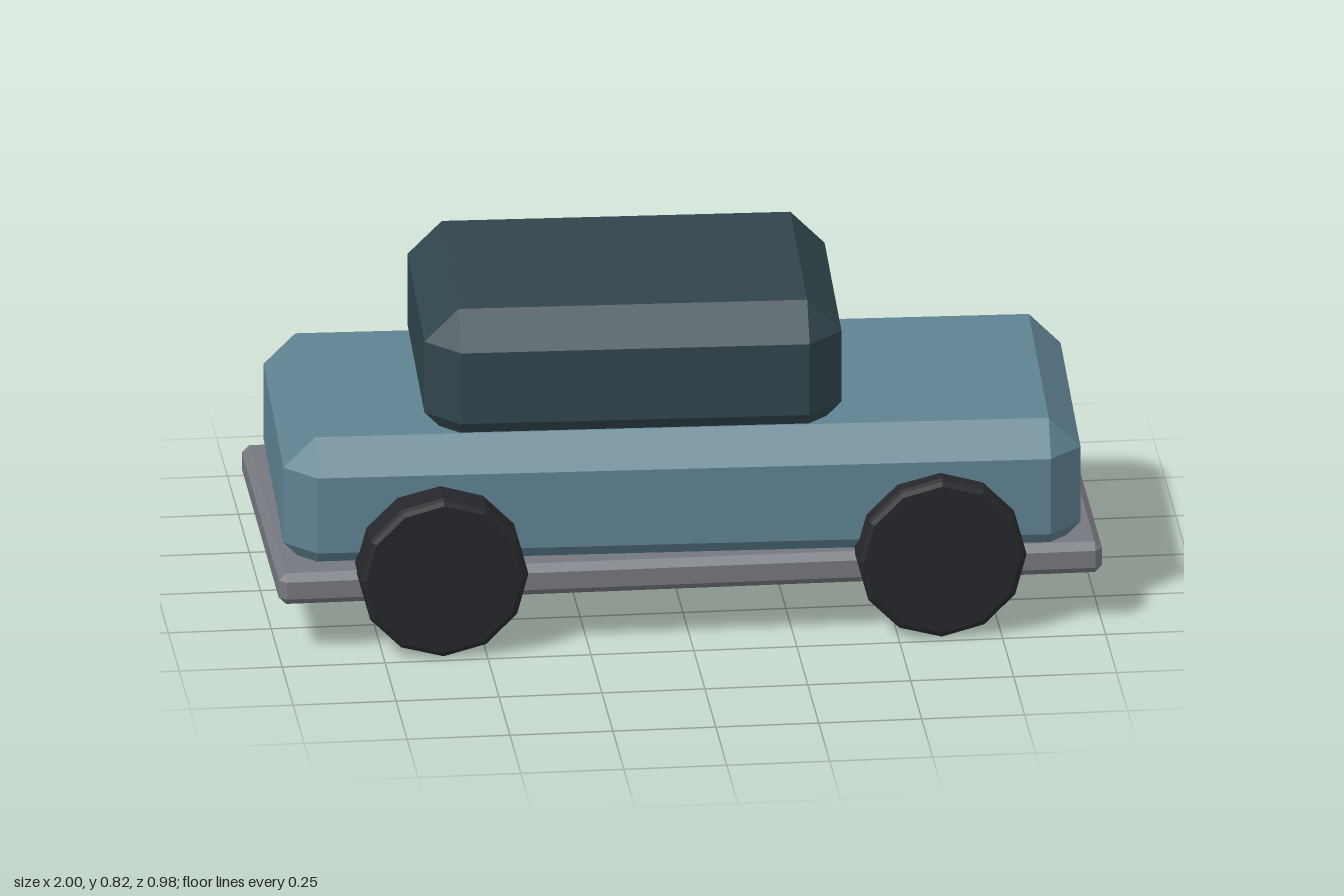
import * as THREE from 'three';
import { ConvexGeometry } from 'three/addons/geometries/ConvexGeometry.js';

const material = (color) => new THREE.MeshStandardMaterial({ color, flatShading: true });

// Box with every edge cut at 45 degrees and triangular corners.
function chamferBox(name, [width, height, depth], cut, color) {
  const half = [width / 2, height / 2, depth / 2];
  const points = [];
  for (const sx of [-1, 1]) for (const sy of [-1, 1]) for (const sz of [-1, 1]) {
    for (let axis = 0; axis < 3; axis++) {
      const [x, y, z] = half.map((h, i) => (i === axis ? h : h - cut));
      points.push(new THREE.Vector3(sx * x, sy * y, sz * z));
    }
  }
  const mesh = new THREE.Mesh(new ConvexGeometry(points), material(color));
  mesh.name = name;
  return mesh;
}

// Twelve-sided wheel with softened rims, its axle along z.
function wheelGeometry(radius, width, bevel) {
  const h = width / 2;
  const profile = [
    [0, -h], [radius - bevel, -h], [radius - bevel * 0.3, -h + bevel * 0.3], [radius, -h + bevel],
    [radius, h - bevel], [radius - bevel * 0.3, h - bevel * 0.3], [radius - bevel, h], [0, h],
  ].map(([x, y]) => new THREE.Vector2(x, y));
  return new THREE.LatheGeometry(profile, 12).rotateX(Math.PI / 2);
}

export function createModel() {
  const car = new THREE.Group();
  car.name = 'car';

  // Flat base plate
  const chassis = chamferBox('chassis', [2, 0.08, 0.874], 0.018, 0x75787f);
  chassis.position.y = 0.171;
  car.add(chassis);

  // Body and cabin sit slightly askew on the base
  const upper = new THREE.Group();
  upper.name = 'upperBody';
  upper.rotation.y = -0.035;
  const body = chamferBox('body', [1.93, 0.349, 0.832], 0.077, 0x5f8291);
  body.position.y = 0.3425;
  const cabin = chamferBox('cabin', [1.01, 0.35, 0.74], 0.083, 0x30454c);
  cabin.position.set(-0.115, 0.645, 0);
  upper.add(body, cabin);
  car.add(upper);

  // Four wheels
  const geometry = wheelGeometry(0.206, 0.134, 0.016);
  const rubber = material(0x25272a);
  for (const [end, sx] of [['Right', -1], ['Left', 1]]) {
    for (const [side, sz] of [['front', 1], ['back', -1]]) {
      const wheel = new THREE.Mesh(geometry, rubber);
      wheel.name = `${side}${end}Wheel`;
      wheel.position.set(sx * 0.605, 0.206, sz * 0.421);
      car.add(wheel);
    }
  }
  return car;
}
